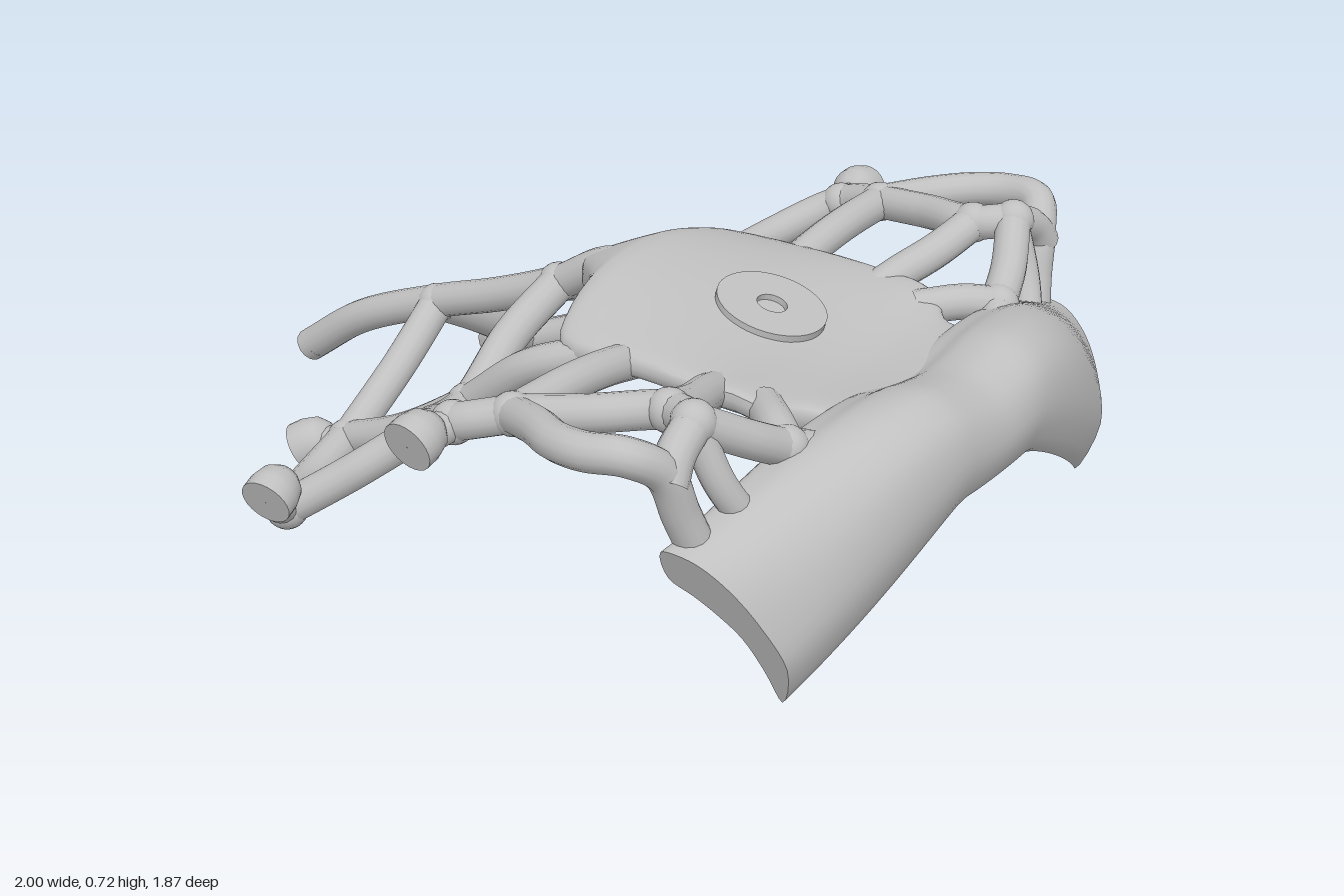
import * as THREE from 'three';
import { toCreasedNormals } from 'three/addons/utils/BufferGeometryUtils.js';

const V = (p, s = 1) => new THREE.Vector3(p[0], p[1], p[2] * s);

// Skin a list of closed cross-sections and cap both ends
function loft(rings, project) {
  const n = rings[0].length, pos = [], idx = [];
  rings.forEach(r => r.forEach(p => pos.push(p.x, p.y, p.z)));
  for (let i = 0; i < rings.length - 1; i++) {
    for (let j = 0; j < n; j++) {
      const a = i * n + j, b = i * n + (j + 1) % n, c = a + n, d = b + n;
      idx.push(a, c, b, b, c, d);
    }
  }
  const last = (rings.length - 1) * n;
  for (const [k, off] of [[0, 0], [rings.length - 1, last]]) {
    for (const [a, b, c] of THREE.ShapeUtils.triangulateShape(rings[k].map(project), [])) {
      if (k) idx.push(off + a, off + b, off + c);
      else idx.push(a, c, b);
    }
  }
  const g = new THREE.BufferGeometry();
  g.setAttribute('position', new THREE.Float32BufferAttribute(pos, 3));
  g.setIndex(idx);
  return toCreasedNormals(g, 0.8);
}

export function createModel() {
  const model = new THREE.Group();
  model.name = 'latticeFramework';
  const metal = new THREE.MeshStandardMaterial({ color: 0xc0c0c0 });
  metal.name = 'grey metal';

  // The whole casting leans slightly: height rises towards +z
  const lean = new THREE.Matrix4().set(1, 0, 0, 0, 0, 1, 0.04, 0, 0, 0, 1, 0, 0, 0, 0, 1);
  const add = (name, geo) => {
    geo.applyMatrix4(lean);
    const m = new THREE.Mesh(geo, metal);
    m.name = name;
    model.add(m);
  };
  const rod = (name, pts, s = 1, r = 0.042) => {
    const curve = new THREE.CatmullRomCurve3(pts.map(p => V(p, s)));
    add(name, new THREE.TubeGeometry(curve, pts.length * 7, r, 14));
  };
  const joint = (p, s = 1, r = 0.049) =>
    add('joint', new THREE.SphereGeometry(r, 16, 12).translate(p[0], p[1], p[2] * s));
  const place = (name, geo, p, dir, s = 1) => {
    const q = new THREE.Quaternion().setFromUnitVectors(new THREE.Vector3(0, 1, 0), V(dir, s).normalize());
    add(name, geo.applyQuaternion(q).translate(p[0], p[1], p[2] * s));
  };

  // Central spine with a flat cut end
  rod('spine', [[-0.965, 0.13, 0.01], [-0.8, 0.25, 0.01], [-0.57, 0.35, 0], [-0.38, 0.42, 0],
    [-0.2, 0.5, 0], [-0.06, 0.585, 0], [0.08, 0.605, 0]]);
  place('spineEnd', new THREE.CylinderGeometry(0.042, 0.042, 0.03, 14), [-0.968, 0.127, 0.01], [-0.8, -0.6, 0]);

  // Shared lattice nodes, [x, y, z] on the +z half
  const spineA = [-0.57, 0.345, 0], spineB = [-0.2, 0.5, 0];
  const railA = [-0.565, 0.115, 0.36], railB = [-0.185, 0.33, 0.375];
  const corner = [-0.41, 0.145, 0.755], dip = [-0.155, 0.35, 0.595];
  const peak = [0.1, 0.53, 0.785], fork = [0.23, 0.575, 0.75];
  const hub = [0.545, 0.635, 0.64], crest = [0.63, 0.65, 0.68], foot = [0.715, 0.53, 0.46];
  [spineA, spineB].forEach(p => joint(p));

  for (const s of [1, -1]) {
    [railA, railB, corner, dip, peak, fork, hub, crest, foot].forEach(p => joint(p, s));

    // Rungs and inner rail
    rod('frontRung', [spineA, [-0.555, 0.245, 0.17], railA], s);
    rod('middleRung', [spineB, [-0.2, 0.43, 0.19], railB, dip], s, 0.044);
    rod('innerRail', [railA, [-0.38, 0.2, 0.375], railB, [0, 0.48, 0.38], [0.15, 0.54, 0.345]], s);

    // Outer zigzag rail
    rod('frontCorner', [railA, [-0.515, 0.095, 0.57], corner], s, 0.045);
    rod('outerRail', [corner, [-0.28, 0.245, 0.67], dip, [-0.04, 0.44, 0.675], peak, fork], s);

    // Rear struts and loop reaching down to the band
    rod('plateStrut', [fork, [0.235, 0.575, 0.56], [0.235, 0.56, 0.42], [0.235, 0.54, 0.32]], s);
    rod('rearRail', [fork, [0.39, 0.605, 0.7], hub, crest], s);
    rod('hubStrut', [hub, [0.515, 0.595, 0.52], [0.475, 0.56, 0.4], [0.45, 0.53, 0.31]], s);
    rod('rearLoop', [fork, [0.34, 0.605, 0.815], [0.43, 0.62, 0.87], [0.51, 0.63, 0.887], [0.595, 0.635, 0.865],
      [0.638, 0.585, 0.8], [0.655, 0.48, 0.76], [0.68, 0.37, 0.72]], s);
    rod('crestLink', [crest, [0.64, 0.61, 0.76], [0.65, 0.56, 0.8]], s);
    rod('rearStrut', [crest, [0.685, 0.58, 0.56], foot, [0.75, 0.505, 0.38], [0.77, 0.49, 0.27]], s);
    rod('footLink', [foot, [0.655, 0.54, 0.405], [0.57, 0.53, 0.32]], s);
    rod('bandLink', [crest, [0.68, 0.52, 0.66], [0.73, 0.40, 0.6]], s, 0.035);

    // Flat-faced studs, each on a short stem
    const studs = [
      { at: [-0.685, 0.07, 0.395], dir: [-0.7, -0.45, 0.35], from: railA },
      { at: [-0.375, 0.215, 0.86], dir: [0.12, -0.35, 0.95], from: corner },
      { at: [0.085, 0.52, 0.92], dir: [-0.05, -0.3, 1], from: peak },
    ];
    for (const { at, dir, from } of studs) {
      const profile = [[0.001, -0.1], [0.03, -0.092], [0.051, -0.07], [0.06, -0.035], [0.06, 0], [0.001, 0]];
      const g = new THREE.LatheGeometry(profile.map(p => new THREE.Vector2(...p)), 24);
      place('stud', toCreasedNormals(g, 0.8), at, dir, s);
      rod('studStem', [from, V(from).lerp(V(at), 0.6).toArray()], s, 0.038);
    }
  }

  // Centre plate: [x, middle height, half width] along its length,
  // domed at the front, dished at the rear and thickest along its middle
  const plateLine = new THREE.CatmullRomCurve3([
    [-0.1, 0.56, 0.045], [-0.04, 0.59, 0.105], [0.005, 0.61, 0.17], [0.035, 0.617, 0.29], [0.08, 0.615, 0.375],
    [0.3, 0.57, 0.39], [0.5, 0.512, 0.39], [0.6, 0.49, 0.375], [0.67, 0.485, 0.3], [0.79, 0.49, 0.28],
  ].map(p => V(p)));
  const power = (v, e) => Math.sign(v) * Math.abs(v) ** e;
  const plateRings = Array.from({ length: 41 }, (_, i) => {
    const c = plateLine.getPoint(i / 40);
    const drop = Math.max(-0.05, 0.09 - 0.26 * Math.max(c.x, 0));
    const belly = 0.045 * THREE.MathUtils.smoothstep(c.x, 0, 0.25) * (1 - THREE.MathUtils.smoothstep(c.x, 0.55, 0.79));
    return Array.from({ length: 48 }, (_, j) => {
      const a = j / 48 * Math.PI * 2, z = c.z * power(Math.cos(a), 0.8), side = power(Math.sin(a), 0.5);
      const half = side < 0 ? 0.045 + belly * (1 - (z / c.z) ** 2) : 0.045;
      return new THREE.Vector3(c.x, c.y - drop * (z / 0.38) ** 2 + half * side, z);
    });
  });
  add('centrePlate', loft(plateRings, p => new THREE.Vector2(-p.z, p.y)));

  // Tilted boss through the plate with a small hole on top
  const boss = [[0.001, -0.16], [0.127, -0.16], [0.127, 0], [0.035, 0], [0.035, -0.06], [0.001, -0.06]];
  place('boss', toCreasedNormals(new THREE.LatheGeometry(boss.map(p => new THREE.Vector2(...p)), 40), 0.6),
    [0.388, 0.606, 0], [0.26, 0.966, 0]);

  // Arched rear band with raised shoulders, blended from a middle section to an end section
  const middle = [[0.70, 0.505], [0.75, 0.53], [0.80, 0.56], [0.89, 0.57], [0.97, 0.52], [0.997, 0.43], [0.96, 0.345],
    [0.935, 0.40], [0.905, 0.46], [0.85, 0.495], [0.78, 0.475], [0.71, 0.45]];
  const end = [[0.635, 0.405], [0.68, 0.412], [0.73, 0.40], [0.79, 0.355], [0.845, 0.275], [0.882, 0.17], [0.845, 0.055],
    [0.82, 0.14], [0.785, 0.22], [0.74, 0.265], [0.69, 0.30], [0.635, 0.33]];
  const bandRings = Array.from({ length: 49 }, (_, i) => {
    const u = i / 24 - 1, t = Math.abs(u);
    const fall = Math.max(0, (t - 0.22) / 0.78) ** 1.2;
    const shoulder = 0.052 * Math.max(0, Math.sin(Math.PI * t)) ** 1.5;
    const ring = middle.map((m, k) => new THREE.Vector3(
      THREE.MathUtils.lerp(m[0], end[k][0], t ** 2.3),
      THREE.MathUtils.lerp(m[1], end[k][1], fall) + shoulder * THREE.MathUtils.clamp((m[1] - 0.38) / 0.14, 0, 1),
      u * (0.805 - 0.14 * (0.41 - end[k][1]) / 0.35)));
    return new THREE.CatmullRomCurve3(ring, true).getPoints(48).slice(0, 48);
  });
  add('rearBand', loft(bandRings, p => new THREE.Vector2(p.x, p.y)));

  return model;
}
